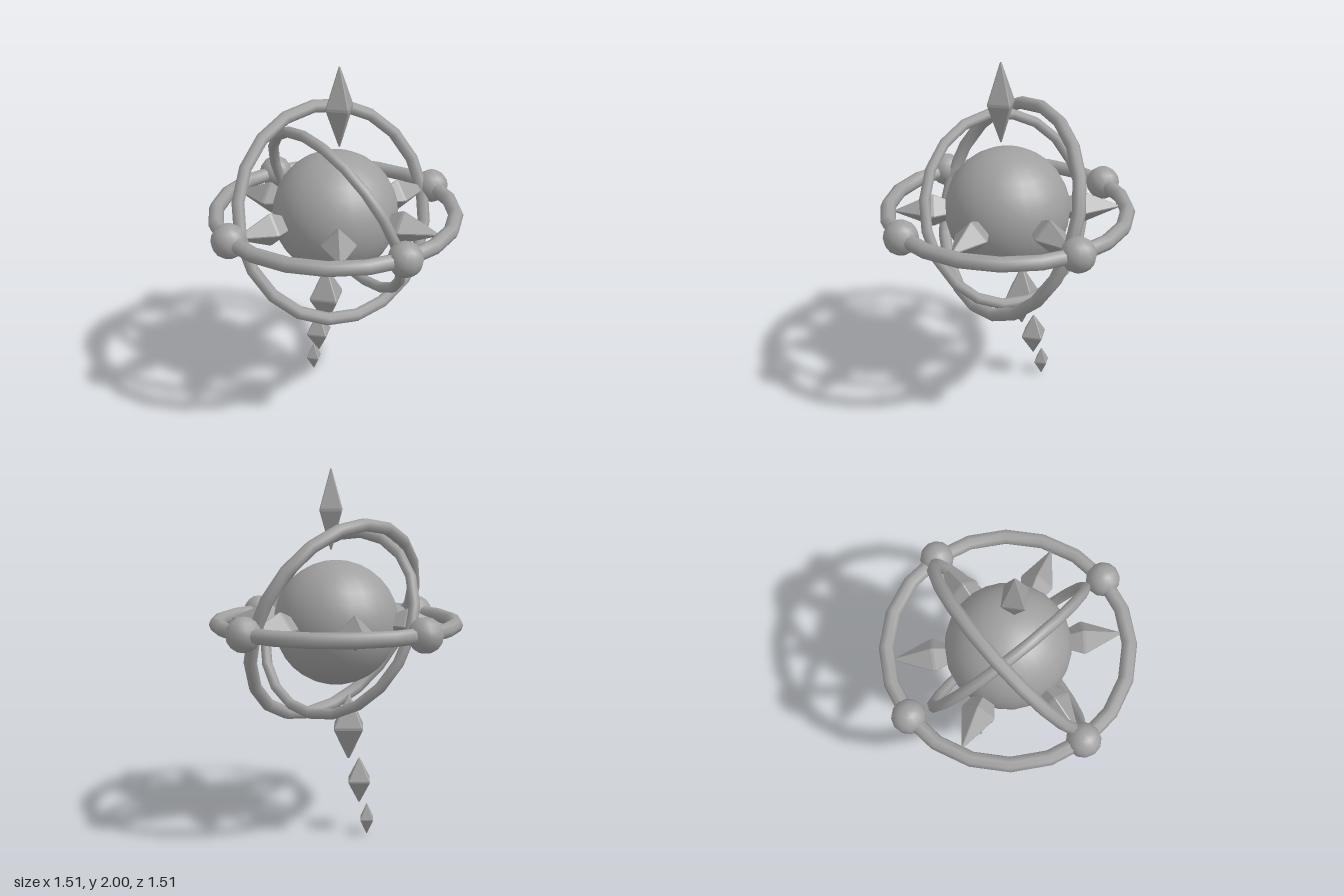
import * as THREE from 'three';
import { ConvexGeometry } from 'three/addons/geometries/ConvexGeometry.js';

const CENTER_Y = 1.16;

// Four-sided crystal (stretched octahedron) with narrow bevels on all edges
function crystalGeometry(halfWidth, halfLength) {
  const e = 0.035;
  const points = [];
  for (let axis = 0; axis < 3; axis++) {
    for (const s of [-1, 1]) for (const a of [-e, e]) for (const b of [-e, e]) {
      const c = [a, a, a];
      c[axis] = s;
      c[(axis + 1) % 3] = a;
      c[(axis + 2) % 3] = b;
      points.push(new THREE.Vector3(c[0] * halfWidth, c[1] * halfLength, c[2] * halfWidth));
    }
  }
  return new ConvexGeometry(points);
}

export function createModel() {
  const model = new THREE.Group();
  model.name = 'ringedCore';
  const stone = new THREE.MeshStandardMaterial({ color: 0xa0a0a0 });
  stone.name = 'grey stone';

  const add = (name, geometry, x, y, z) => {
    const mesh = new THREE.Mesh(geometry, stone);
    mesh.name = name;
    mesh.position.set(x, y, z);
    model.add(mesh);
    return mesh;
  };

  // Central sphere
  add('core', new THREE.SphereGeometry(0.346, 24, 16), 0, CENTER_Y, 0);

  // Level ring and two tilted inner rings
  const ring = (radius, tube) => new THREE.TorusGeometry(radius, tube, 8, 20);
  add('levelRing', ring(0.66, 0.042).rotateX(Math.PI / 2), 0, CENTER_Y, 0);
  add('frontTiltedRing', ring(0.59, 0.036).rotateX(-0.385), 0, CENTER_Y, 0);
  add('sideTiltedRing', ring(0.525, 0.03).rotateY(Math.PI / 2 + 0.07).rotateZ(0.385), 0, CENTER_Y, 0);

  // Four small spheres on the level ring
  for (let i = 0; i < 4; i++) {
    const a = i * Math.PI / 2;
    add('ringNode', new THREE.SphereGeometry(0.095, 12, 8),
      0.66 * Math.cos(a), CENTER_Y, 0.66 * Math.sin(a));
  }

  // Six crystals radiating from the core
  for (let i = 0; i < 6; i++) {
    const a = i * Math.PI / 3;
    const geometry = crystalGeometry(0.092, 0.21).rotateZ(-Math.PI / 2).rotateY(-a);
    add('radialCrystal', geometry, 0.41 * Math.cos(a), CENTER_Y, 0.41 * Math.sin(a));
  }

  // Crown crystal above and a shrinking trail of crystals below: [y, z, halfWidth, halfLength]
  add('crownCrystal', crystalGeometry(0.083, 0.22), 0, 1.78, 0.04);
  [
    [0.585, -0.1, 0.109, 0.182],
    [0.295, -0.185, 0.08, 0.126],
    [0.086, -0.245, 0.048, 0.086],
  ].forEach(([y, z, w, l]) => add('trailCrystal', crystalGeometry(w, l), 0, y, z));

  return model;
}
